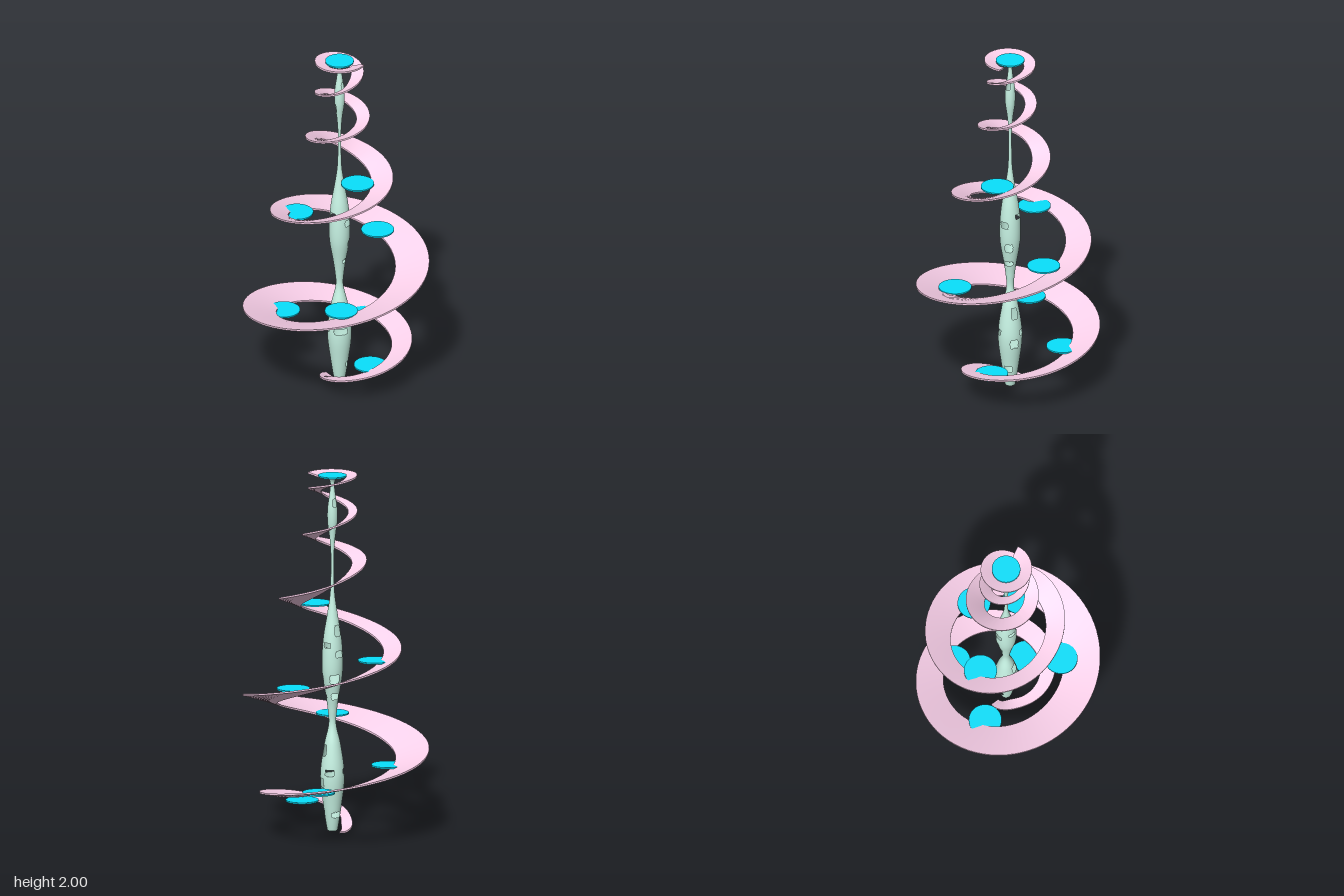
import * as THREE from 'three';
import { toCreasedNormals } from 'three/addons/utils/BufferGeometryUtils.js';

const AXIS = [0.025, 0.01]; // x, z of the central column

// Ramp stations, one per quarter turn: height of the outer rim, outer radius, width
const RAMP = [
  [0.014, 0.105, 0.05], [0.07, 0.135, 0.07], [0.18, 0.335, 0.1], [0.275, 0.44, 0.125],
  [0.4, 0.525, 0.17], [0.545, 0.52, 0.195], [0.695, 0.505, 0.195], [0.85, 0.465, 0.165],
  [0.99, 0.41, 0.11], [1.125, 0.33, 0.095], [1.255, 0.315, 0.122], [1.375, 0.24, 0.11],
  [1.49, 0.195, 0.085], [1.565, 0.182, 0.08], [1.635, 0.172, 0.075], [1.705, 0.15, 0.07],
  [1.775, 0.14, 0.055], [1.835, 0.13, 0.045], [1.9, 0.13, 0.07], [1.955, 0.14, 0.065],
  [1.987, 0.135, 0.065], [1.993, 0.14, 0.065], [1.993, 0.145, 0.065],
];
const DISH = 0.24; // fall of the ramp towards its inner rim, per unit of width

// Column profile: radius, height
const PROFILE = [
  [0.028, 0.01], [0.037, 0.06], [0.05, 0.15], [0.065, 0.27], [0.064, 0.36], [0.045, 0.49],
  [0.021, 0.6], [0.025, 0.68], [0.036, 0.76], [0.055, 0.88], [0.057, 0.99], [0.048, 1.1],
  [0.03, 1.21], [0.013, 1.33], [0.009, 1.45], [0.009, 1.55], [0.015, 1.64], [0.027, 1.73],
  [0.027, 1.81], [0.016, 1.89], [0.012, 1.95], [0.028, 1.985],
];

// Column openings: height, angle from the front, half height, half angle
const HOLES = [
  [0.34, -0.75, 0.018, 0.6], [0.34, -2.4, 0.02, 0.5], [0.12, 0.5, 0.018, 0.5],
  [0.76, 0.4, 0.012, 0.8], [0.76, 2.74, 0.016, 0.6], [0.86, 0.6, 0.026, 0.4],
  [0.86, 2.54, 0.026, 0.5], [1.0, 0.1, 0.02, 0.4], [1.0, 3.04, 0.02, 0.4],
  [0.46, 1.2, 0.032, 0.35], [0.46, -1.2, 0.035, 0.4], [0.34, 2.05, 0.018, 0.4],
  [0.28, 1.1, 0.026, 0.35], [0.1, 2.9, 0.015, 0.7], [1.05, 1.7, 0.014, 0.4],
  [1.05, -1.7, 0.015, 0.4], [1.13, 3.0, 0.03, 0.4], [1.84, 0.2, 0.022, 0.6],
  [1.84, 2.94, 0.022, 0.6], [1.7, -2.2, 0.025, 0.5],
];

// Landing discs: x, y, z, radius
const DISCS = [
  [0.06, 0.155, 0.2, 0.09], [0.29, 0.28, -0.125, 0.09], [-0.1, 0.395, -0.283, 0.09],
  [-0.2, 0.6, 0.21, 0.09], [0.305, 0.84, 0.047, 0.09], [-0.03, 0.985, -0.248, 0.09],
  [0.037, 1.265, 0.128, 0.09], [AXIS[0], 1.99, AXIS[1], 0.078],
];

const mat = (color, side = THREE.FrontSide) => new THREE.MeshStandardMaterial({ color, side });

function part(name, geometry, material) {
  const mesh = new THREE.Mesh(geometry, material);
  mesh.name = name;
  return mesh;
}

// Thin dished section swept along a spiral of changing radius and pitch
function rampGeometry() {
  const curve = new THREE.CatmullRomCurve3(
    RAMP.map((s) => new THREE.Vector3(...s)), false, 'catmullrom', 0.5);
  const turns = RAMP.length - 1, steps = turns * 20, h = 0.005;
  const pos = [], idx = [];
  for (let i = 0; i <= steps; i++) {
    const { x: y, y: outer, z: width } = curve.getPoint(i / steps);
    const a = (i / steps) * (turns + 0.2) * Math.PI / 2 - 0.1 * (1 - i / steps);
    const inner = outer - width, low = Math.max(y - DISH * width, h);
    for (const [r, py] of [[outer, y + h], [inner, low + h], [inner, low - h], [outer, y - h]]) {
      pos.push(-Math.sin(a) * r, py, -Math.cos(a) * r);
    }
    if (i === steps) break;
    for (let j = 0; j < 4; j++) {
      const p = i * 4 + j, q = i * 4 + (j + 1) % 4;
      idx.push(p, p + 4, q + 4, p, q + 4, q);
    }
  }
  const e = steps * 4;
  idx.push(0, 1, 2, 0, 2, 3, e, e + 2, e + 1, e, e + 3, e + 2);
  const geo = new THREE.BufferGeometry();
  geo.setAttribute('position', new THREE.Float32BufferAttribute(pos, 3));
  geo.setIndex(idx);
  return toCreasedNormals(geo, 0.7);
}

// Thin turned shell with rounded openings cut out of it
function columnGeometry() {
  const points = new THREE.SplineCurve(PROFILE.map((p) => new THREE.Vector2(...p))).getPoints(260);
  const geo = new THREE.LatheGeometry(points, 72);
  const pos = geo.attributes.position, uv = geo.attributes.uv, src = geo.index.array;
  const isOpen = (y, a) => HOLES.some(([hy, ha, dy, da]) => {
    const d = Math.atan2(Math.sin(a - ha), Math.cos(a - ha));
    return ((y - hy) / dy) ** 4 + (d / da) ** 4 < 1;
  });
  const kept = [];
  for (let i = 0; i < src.length; i += 3) {
    const t = [src[i], src[i + 1], src[i + 2]];
    const y = t.reduce((s, k) => s + pos.getY(k), 0) / 3;
    const a = t.reduce((s, k) => s + uv.getX(k), 0) / 3 * Math.PI * 2;
    if (!isOpen(y, a)) kept.push(...t);
  }
  geo.setIndex(kept);
  return geo;
}

export function createModel() {
  const model = new THREE.Group();
  model.name = 'spiralTower';

  const ramp = part('spiralRamp', rampGeometry(), mat(0xfcd2ec));
  ramp.position.set(AXIS[0], 0, AXIS[1]);

  const column = part('column', columnGeometry(), mat(0xc6f2e3, THREE.DoubleSide));
  column.position.set(AXIS[0], 0, AXIS[1]);
  model.add(ramp, column);

  const discMat = mat(0x08e0fc);
  DISCS.forEach(([x, y, z, r], i) => {
    const name = i === DISCS.length - 1 ? 'topDisc' : `landingDisc${i + 1}`;
    const disc = part(name, new THREE.CylinderGeometry(r, r, 0.008, 48), discMat);
    disc.position.set(x, y, z);
    model.add(disc);
  });
  return model;
}
